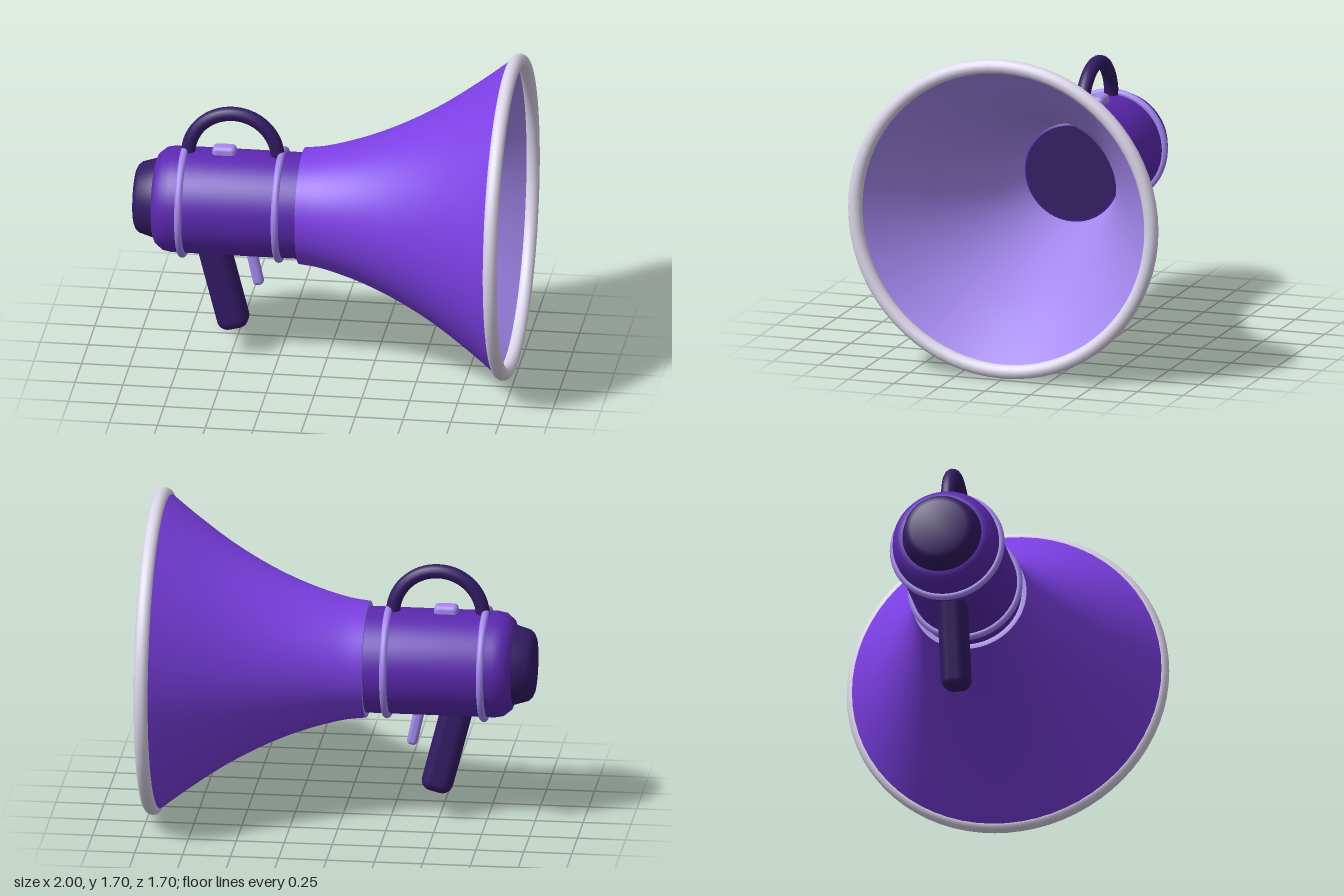
import * as THREE from 'three';
import { toCreasedNormals } from 'three/addons/utils/BufferGeometryUtils.js';
import { RoundedBoxGeometry } from 'three/addons/geometries/RoundedBoxGeometry.js';

const AXIS_Y = 0.853; // height of the horn's centre line

const paint = (color, side = THREE.FrontSide) => new THREE.MeshStandardMaterial({ color, side });

export function createModel() {
  const model = new THREE.Group();
  const hornPaint = paint(0x7c3fe4);
  const bodyPaint = paint(0x5b28b0);
  const darkPaint = paint(0x321a64);
  const accentPaint = paint(0xa388ee);
  const liningPaint = paint(0xa388ee, THREE.DoubleSide);
  const rimPaint = paint(0xdcd6ea);

  function add(name, geometry, material, x = 0, y = AXIS_Y, rotZ = 0) {
    const mesh = new THREE.Mesh(geometry, material);
    mesh.name = name;
    mesh.position.set(x, y, 0);
    mesh.rotation.z = rotZ;
    model.add(mesh);
    return mesh;
  }

  // Turned part along x; the profile is [x, radius], running from back to front
  function turned(name, profile, material, crease = 0.6) {
    const points = profile.map(([x, r]) => new THREE.Vector2(r, x));
    const geometry = toCreasedNormals(new THREE.LatheGeometry(points, 64), crease);
    return add(name, geometry, material, 0, AXIS_Y, -Math.PI / 2);
  }

  // Ring around the x axis
  function ring(name, x, radius, tube, material) {
    const geometry = new THREE.TorusGeometry(radius, tube, 16, 72);
    geometry.rotateY(Math.PI / 2);
    return add(name, geometry, material, x);
  }

  const flare = (points) =>
    new THREE.SplineCurve(points.map(([x, r]) => new THREE.Vector2(x, r)))
      .getPoints(28).map((p) => [p.x, p.y]);

  // Flared horn: outer shell, lighter lining, back edge and rim
  turned('hornShell', flare([[-0.13, 0.303], [0, 0.322], [0.2, 0.382], [0.4, 0.468],
    [0.6, 0.58], [0.8, 0.719], [0.95, 0.835]]), hornPaint);
  turned('hornLining', flare([[-0.12, 0.26], [0, 0.29], [0.2, 0.352], [0.4, 0.438],
    [0.6, 0.55], [0.8, 0.689], [0.95, 0.805]]), liningPaint);
  turned('hornBackEdge', [[-0.12, 0.255], [-0.13, 0.27], [-0.13, 0.303]], liningPaint);
  ring('hornRim', 0.962, 0.813, 0.037, rimPaint);

  // Barrel with bevelled ends, and the dark throat disc inside the horn
  turned('body', [[-0.895, 0], [-0.895, 0.21], [-0.885, 0.235], [-0.845, 0.268], [-0.8, 0.277],
    [-0.13, 0.277], [-0.115, 0.262], [-0.11, 0.245], [-0.11, 0]], bodyPaint);
  turned('throat', [[-0.12, 0.25], [-0.1, 0.25], [-0.1, 0]], darkPaint);
  turned('endCap', [[-1, 0], [-1, 0.145], [-0.99, 0.168], [-0.972, 0.185], [-0.89, 0.21]], darkPaint);
  for (const [name, x] of [['backBand', -0.743], ['frontBand', -0.238]]) {
    ring(name, x, 0.284, 0.019, accentPaint);
  }

  // Carrying handle arching over the barrel
  add('carryHandle', new THREE.TorusGeometry(0.234, 0.037, 16, 40, Math.PI), darkPaint, -0.493, 1.115);

  // Power button, pistol grip and trigger
  add('button', new RoundedBoxGeometry(0.125, 0.08, 0.08, 4, 0.025), accentPaint, -0.537, 1.13);
  add('grip', new RoundedBoxGeometry(0.165, 0.56, 0.15, 5, 0.055), darkPaint, -0.548, 0.423, 0.25);
  add('trigger', new RoundedBoxGeometry(0.056, 0.22, 0.056, 4, 0.022), accentPaint, -0.379, 0.505, 0.22);

  return model;
}
